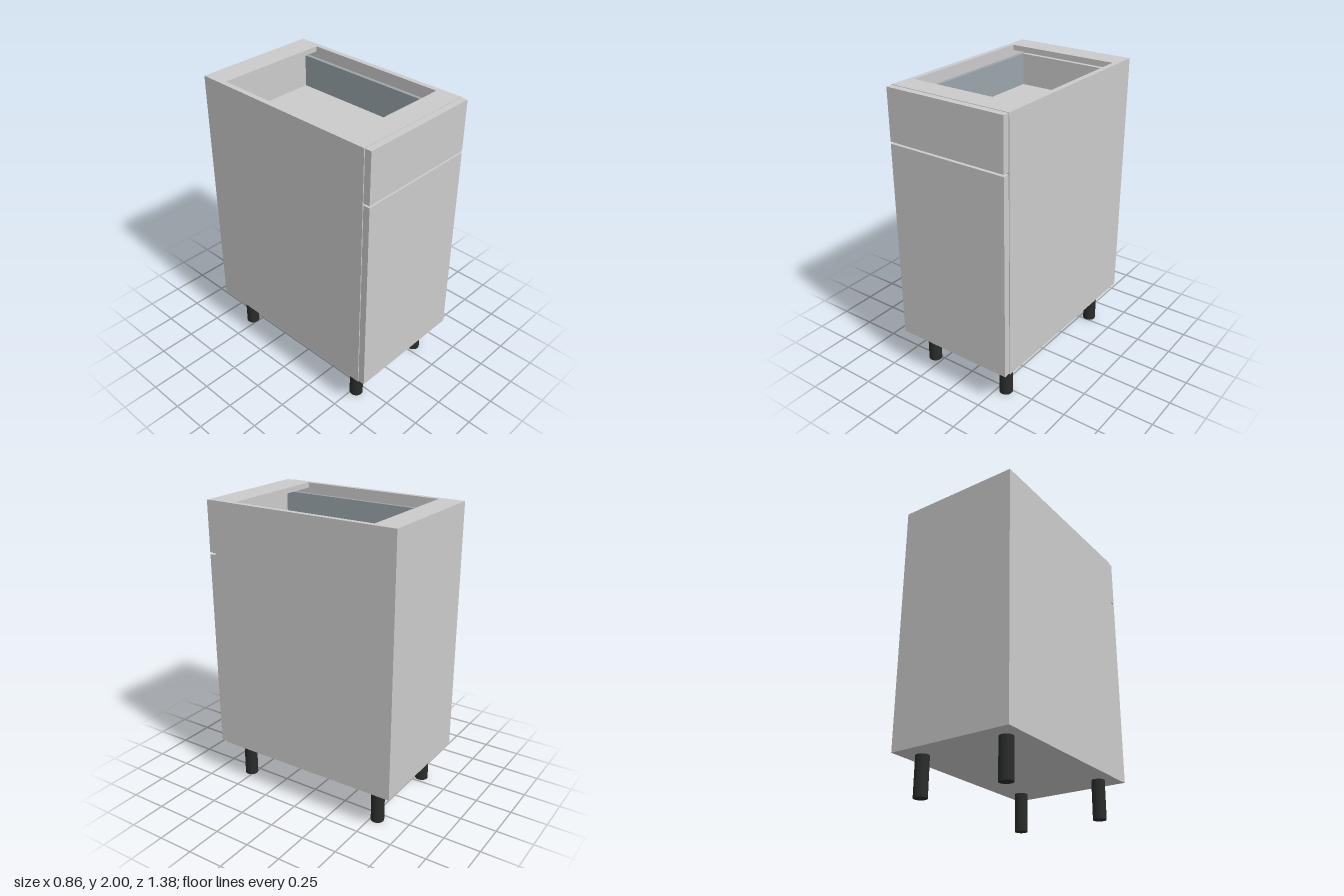
import * as THREE from 'three';

export function createModel() {
  const cabinet = new THREE.Group();
  cabinet.name = 'baseCabinet';
  const board = new THREE.MeshStandardMaterial({ color: 0xcccccc });
  const metal = new THREE.MeshStandardMaterial({ color: 0x9aa5ab });
  const plastic = new THREE.MeshStandardMaterial({ color: 0x2a2c2c });

  // Box given by its extents along each axis
  function panel(name, [x0, x1], [y0, y1], [z0, z1], material = board, parent = cabinet) {
    const mesh = new THREE.Mesh(new THREE.BoxGeometry(x1 - x0, y1 - y0, z1 - z0), material);
    mesh.position.set((x0 + x1) / 2, (y0 + y1) / 2, (z0 + z1) / 2);
    mesh.name = name;
    parent.add(mesh);
  }

  const inner = [-0.394, 0.394];
  const back = -0.69, front = 0.643, base = 0.265, top = 2, t = 0.036;

  // Carcass
  panel('leftSide', [0.394, 0.43], [base, top], [back, front]);
  panel('rightSide', [-0.43, -0.394], [base, top], [back, front]);
  panel('bottomPanel', inner, [base, base + t], [back + t, front]);
  panel('backPanel', inner, [base, top - t], [back, back + t]);
  panel('backRail', inner, [top - t, top], [back, -0.525]);
  panel('frontRail', inner, [top - t, top], [0.485, front]);

  // Fronts, with a narrow gap between them
  panel('door', [-0.426, 0.426], [0.27, 1.642], [front + 0.002, 0.69]);
  panel('drawerFront', [-0.426, 0.426], [1.655, 1.998], [front + 0.002, 0.69]);

  // Drawer box with metal sides
  const drawer = new THREE.Group();
  drawer.name = 'drawerBox';
  cabinet.add(drawer);
  panel('drawerBottom', [-0.378, 0.378], [1.68, 1.71], [-0.62, front], board, drawer);
  panel('drawerBack', [-0.352, 0.352], [1.71, 1.93], [-0.62, -0.59], board, drawer);
  panel('drawerLeftSide', [0.352, 0.378], [1.71, 1.93], [-0.62, front], metal, drawer);
  panel('drawerRightSide', [-0.378, -0.352], [1.71, 1.93], [-0.62, front], metal, drawer);

  // Round legs
  const legShape = new THREE.CylinderGeometry(0.045, 0.045, base, 32);
  for (const [side, x] of [['Left', 0.31], ['Right', -0.31]]) {
    for (const [end, z] of [['front', 0.525], ['back', -0.543]]) {
      const leg = new THREE.Mesh(legShape, plastic);
      leg.position.set(x, base / 2, z);
      leg.name = `${end}${side}Leg`;
      cabinet.add(leg);
    }
  }
  return cabinet;
}
